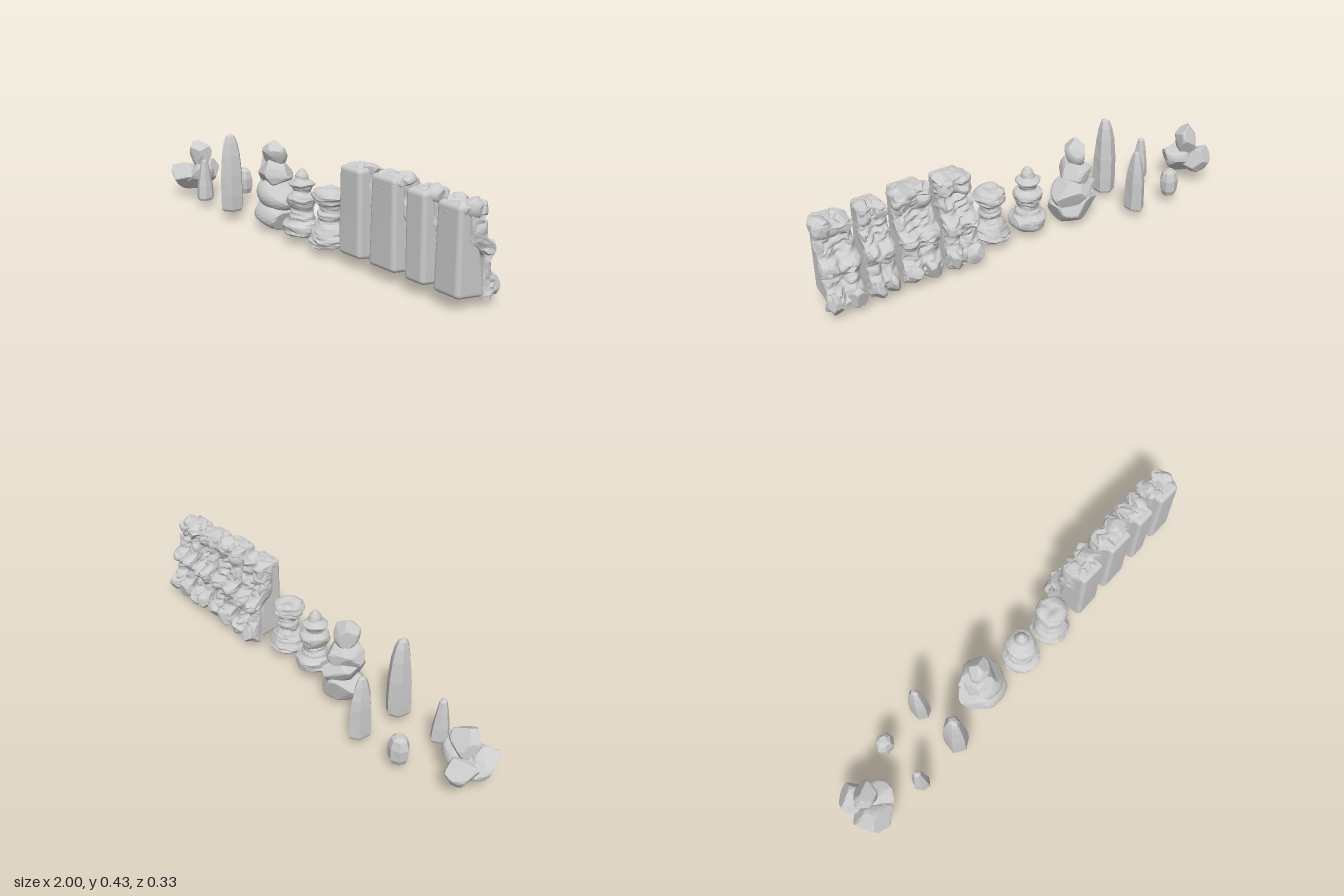
import * as THREE from 'three';
import { RoundedBoxGeometry } from 'three/addons/geometries/RoundedBoxGeometry.js';

const material = new THREE.MeshStandardMaterial({ color: 0xcccccc, flatShading: true });
const { lerp, clamp, smoothstep } = THREE.MathUtils;

function seeded(seed) {
  let s = seed * 7919 + 17;
  return () => ((s = (s * 16807) % 2147483647) / 2147483647);
}

// Smooth value noise in -1..1
const hash = (x, y, z) => {
  const v = Math.sin(x * 127.1 + y * 311.7 + z * 74.7) * 43758.5453;
  return (v - Math.floor(v)) * 2 - 1;
};
function noise(x, y, z) {
  const ix = Math.floor(x), iy = Math.floor(y), iz = Math.floor(z);
  const w = [x - ix, y - iy, z - iz].map((f) => f * f * (3 - 2 * f));
  let sum = 0;
  for (let k = 0; k < 8; k++) {
    const a = k & 1, b = (k >> 1) & 1, c = k >> 2;
    sum += hash(ix + a, iy + b, iz + c) * (a ? w[0] : 1 - w[0]) * (b ? w[1] : 1 - w[1]) * (c ? w[2] : 1 - w[2]);
  }
  return sum;
}

// Move every vertex of a geometry by a rule
function reshape(geo, rule) {
  const p = geo.attributes.position, v = new THREE.Vector3();
  for (let i = 0; i < p.count; i++) {
    rule(v.fromBufferAttribute(p, i));
    p.setXYZ(i, v.x, v.y, v.z);
  }
  geo.computeVertexNormals();
  return geo;
}

// Stretch a geometry to fill a box given as [x0, x1, y0, y1, z0, z1]
function fit(geo, [x0, x1, y0, y1, z0, z1]) {
  geo.computeBoundingBox();
  const { min, max } = geo.boundingBox;
  return reshape(geo, (v) => v.set(
    x0 + (x1 - x0) * (v.x - min.x) / (max.x - min.x),
    y0 + (y1 - y0) * (v.y - min.y) / (max.y - min.y),
    z0 + (z1 - z0) * (v.z - min.z) / (max.z - min.z)));
}

function add(parent, name, geo) {
  const mesh = new THREE.Mesh(geo, material);
  mesh.name = name;
  parent.add(mesh);
}

// Boulder: a ball flattened by random planes, tilted, then fitted to its box
function rock(box, seed, tilt = [0, 0, 0], cuts = 16, flat = 1) {
  const rnd = seeded(seed), planes = [];
  for (let i = 0; i < cuts; i++) {
    const n = new THREE.Vector3(rnd() - 0.5, rnd() - 0.5, rnd() - 0.5).normalize();
    planes.push([n, 0.6 + rnd() * 0.22]);
  }
  const geo = reshape(new THREE.IcosahedronGeometry(1, 4), (v) => {
    for (const [n, d] of planes) {
      const over = v.dot(n) - d;
      if (over > 0) v.addScaledVector(n, -over);
    }
    v.y *= flat;
  });
  geo.rotateX(tilt[0]).rotateY(tilt[1]).rotateZ(tilt[2]);
  return fit(geo, box);
}

// Standing stone: few-sided tapering lathe with uneven corners and a leaning tip
function standingStone(box, profile, sides, seed, leanZ = 0) {
  const geo = new THREE.LatheGeometry(profile.map(([r, y]) => new THREE.Vector2(r, y)), sides, seed);
  reshape(geo, (v) => {
    const r = Math.hypot(v.x, v.z) || 1;
    const k = 1 + 0.16 * noise(v.x / r * 2 + seed * 5, v.y, v.z / r * 2);
    v.set(v.x * k, v.y, v.z * k + leanZ * v.y * v.y);
  });
  return fit(geo, box);
}

// Weathered column: layered profile with ragged strata
function weathered(profile, x, z, seed) {
  const curve = new THREE.SplineCurve(profile.map(([r, y]) => new THREE.Vector2(r, y)));
  const pts = curve.getPoints(48).map((p) => new THREE.Vector2(Math.max(0, p.x), p.y));
  pts[0].x = pts[48].x = 0;
  return reshape(new THREE.LatheGeometry(pts, 18), (v) => {
    const tilted = v.y + 0.15 * v.x;
    const k = 1 + 0.1 * noise(v.x * 18 + seed, v.y * 60, v.z * 18) + 0.09 * noise(v.x * 25, tilted * 110 + seed, v.z * 25);
    v.set(x + v.x * k, v.y + 0.007 * noise(v.x * 30, seed, v.z * 30), z + v.z * k);
  });
}

// Back of a pillar as [y, z]: feet, ledge, recess and brow
const backProfile = [[0.03, -0.045], [0.06, -0.075], [0.1, -0.068], [0.13, -0.045], [0.17, -0.042], [0.2, -0.066],
  [0.225, -0.064], [0.25, -0.025], [0.29, -0.01], [0.32, 0], [0.35, -0.008], [0.39, -0.012], [0.42, 0.01]];
function backZ(y) {
  const i = Math.max(1, backProfile.findIndex((p) => p[0] >= y));
  const [a, b] = [backProfile[i - 1], backProfile[i]];
  return lerp(a[1], b[1], clamp((y - a[0]) / (b[0] - a[0]), 0, 1));
}

function pillar(x0, x1, s0, s1, top, seed) {
  const g = new THREE.Group();
  g.name = 'pillar';
  const cx = (x0 + x1) / 2, w = x1 - x0;

  // Smooth front slab, slimmer towards the top, its foot sloping up to the front
  const slab = new RoundedBoxGeometry(s1 - s0 + 0.012, top - 0.05, 0.14, 6, 0.018);
  slab.translate((s0 + s1) / 2, 0.032 + (top - 0.05) / 2, 0.046);
  add(g, 'frontSlab', reshape(slab, (v) => {
    v.x += 0.005 * noise(v.x * 9, v.y * 14 + seed, 2) - (v.x - cx) * 0.12 * v.y;
    if (v.z < 0.04) v.z += 0.06 * smoothstep(v.y, 0.18, 0.3);
    v.y += 0.018 * (1 - smoothstep(v.y, 0.03, 0.3)) * clamp((v.z + 0.02) / 0.13, 0, 1);
    v.z += 0.003 * noise(v.x * 20, v.y * 14, seed);
  }));

  // Craggy back with a groove down the middle
  add(g, 'craggyBack', reshape(new THREE.BoxGeometry(1, 1, 1, 16, 48, 8), (v) => {
    const t = 0.5 - v.z, u = v.x, y = 0.03 + (v.y + 0.5) * (top - 0.055);
    const front = lerp(0, 0.07, smoothstep(y, 0.18, 0.27));
    const strata = noise(u * 5 + seed, y * 75 + u * 3, t * 3 + seed);
    const chunk = noise(u * 5, y * 30 + seed, t * 2);
    const groove = 0.02 * Math.exp(-u * u * 60) + 0.018 * Math.pow(Math.abs(u) * 2, 4);
    const flare = 0.06 * smoothstep(0.09 - y, 0, 0.05);
    const width = w * (0.91 + flare + 0.09 * strata * t + 0.06 * chunk - 0.14 * Math.pow(1 - t, 2));
    v.set(cx + u * width, y + 0.006 * chunk,
      lerp(front, backZ(y) + groove + 0.01 * strata + 0.008 * chunk, t));
  }));

  // Rounded crown joining slab and back
  add(g, 'crown', rock([s0 - 0.002, s1 + 0.002, top - 0.11, top - 0.012, 0.005, 0.118], seed + 70, [0, 0.3, 0], 6));

  // Mirrored lumps: feet, ledge blocks, brows and crown
  for (const side of [-1, 1]) {
    const lump = (name, off, half, y0, y1, z0, z1, k) => {
      const c = cx + side * off * w;
      add(g, name, rock([c - half * w, c + half * w, y0, y1, z0, z1], seed * 9 + k + side, [0.3 * side, k, 0.2]));
    };
    lump('foot', 0.25, 0.23, 0.025, 0.115, -0.092, 0.0, 1);
    lump('ledgeBlock', 0.27, 0.21, 0.185, 0.237, -0.07, 0.02, 4);
    lump('browBlock', 0.27, 0.22, 0.32, 0.4, -0.018, 0.06, 7);
    lump('sideBlock', 0.36, 0.12, 0.24, 0.32, -0.015, 0.06, 10);
    lump('crownStone', 0.24, 0.25, top - 0.075, top - (side > 0 ? 0 : 0.012), -0.003, 0.085, 13);
    lump('crownFront', 0.2, 0.19, top - 0.07, top - 0.008, 0.035, 0.112, 16);
  }
  return g;
}

export function createModel() {
  const model = new THREE.Group();
  model.name = 'rockFormations';

  // Boulder cluster: three flaring outwards, one upright on top
  [[[-0.99, -0.85, 0.05, 0.185, -0.1, 0.05], [0.6, 0, -0.3], 0.65],
    [[-1, -0.83, 0.045, 0.175, 0, 0.155], [-0.5, 0, -0.4], 0.65],
    [[-0.95, -0.78, 0.04, 0.175, -0.03, 0.11], [0, 0, 0.5], 0.65],
    [[-0.95, -0.835, 0.13, 0.285, -0.035, 0.07], [0, 0.2, 0.2], 1],
  ].forEach(([box, tilt, flat], i) => add(model, 'clusterBoulder', rock(box, 31 + i, tilt, 16, flat)));

  // Standing stones
  const tall = [[0, 0], [0.85, 0], [0.97, 0.03], [1, 0.2], [0.94, 0.48], [0.76, 0.74], [0.56, 0.89], [0.36, 0.97], [0, 1]];
  const shouldered = [[0, 0], [0.9, 0], [1, 0.04], [0.99, 0.5], [0.9, 0.66], [0.64, 0.86], [0.38, 0.97], [0, 1]];
  const spike = [[0, 0], [0.85, 0], [1, 0.06], [0.9, 0.35], [0.62, 0.7], [0.38, 0.95], [0, 1]];
  const stub = [[0, 0], [0.7, 0], [0.95, 0.2], [1, 0.6], [0.75, 0.9], [0.4, 1], [0, 1]];
  add(model, 'tallFrontStone', standingStone([-0.505, -0.41, 0.04, 0.4, 0.05, 0.163], tall, 6, 1, 0.15));
  add(model, 'tallBackStone', standingStone([-0.497, -0.427, 0.035, 0.32, -0.163, -0.058], shouldered, 6, 2));
  add(model, 'smallSpike', standingStone([-0.722, -0.65, 0.04, 0.24, 0.068, 0.155], spike, 7, 3));
  add(model, 'smallStone', standingStone([-0.72, -0.632, 0.042, 0.165, -0.145, -0.068], stub, 7, 4));

  // Stack of overlapping slabs
  [[[-0.33, -0.115, 0, 0.145, -0.065, 0.125], -0.05],
    [[-0.297, -0.1, 0.085, 0.235, -0.08, 0.115], -0.15],
    [[-0.298, -0.14, 0.175, 0.32, -0.055, 0.1], 0.2],
    [[-0.272, -0.165, 0.27, 0.4, -0.03, 0.075], 0.1],
  ].forEach(([box, lean], i) => add(model, 'stackSlab', rock(box, 51 + i, [0.15, i, lean], 14, 0.6)));

  // Weathered columns
  add(model, 'spireColumn', weathered([[0, 0.025], [0.05, 0.029], [0.08, 0.05], [0.08, 0.085], [0.06, 0.102],
    [0.055, 0.12], [0.047, 0.135], [0.052, 0.16], [0.064, 0.185], [0.06, 0.205], [0.04, 0.22], [0.042, 0.24],
    [0.057, 0.257], [0.034, 0.273], [0.028, 0.29], [0.013, 0.312], [0, 0.322]], 0.015, 0.053, 3));
  add(model, 'capColumn', weathered([[0, 0.035], [0.06, 0.036], [0.082, 0.055], [0.075, 0.09], [0.062, 0.118],
    [0.046, 0.14], [0.052, 0.165], [0.044, 0.185], [0.048, 0.205], [0.066, 0.222], [0.069, 0.25], [0.054, 0.27],
    [0.03, 0.276], [0, 0.276]], 0.206, 0.057, 8));

  // Row of pillars
  [[0.315, 0.48, 0.342, 0.457, 0.425], [0.495, 0.675, 0.52, 0.648, 0.428],
    [0.693, 0.82, 0.713, 0.8, 0.413], [0.838, 1, 0.858, 0.97, 0.403],
  ].forEach((p, i) => model.add(pillar(...p, i + 2)));

  return model;
}
